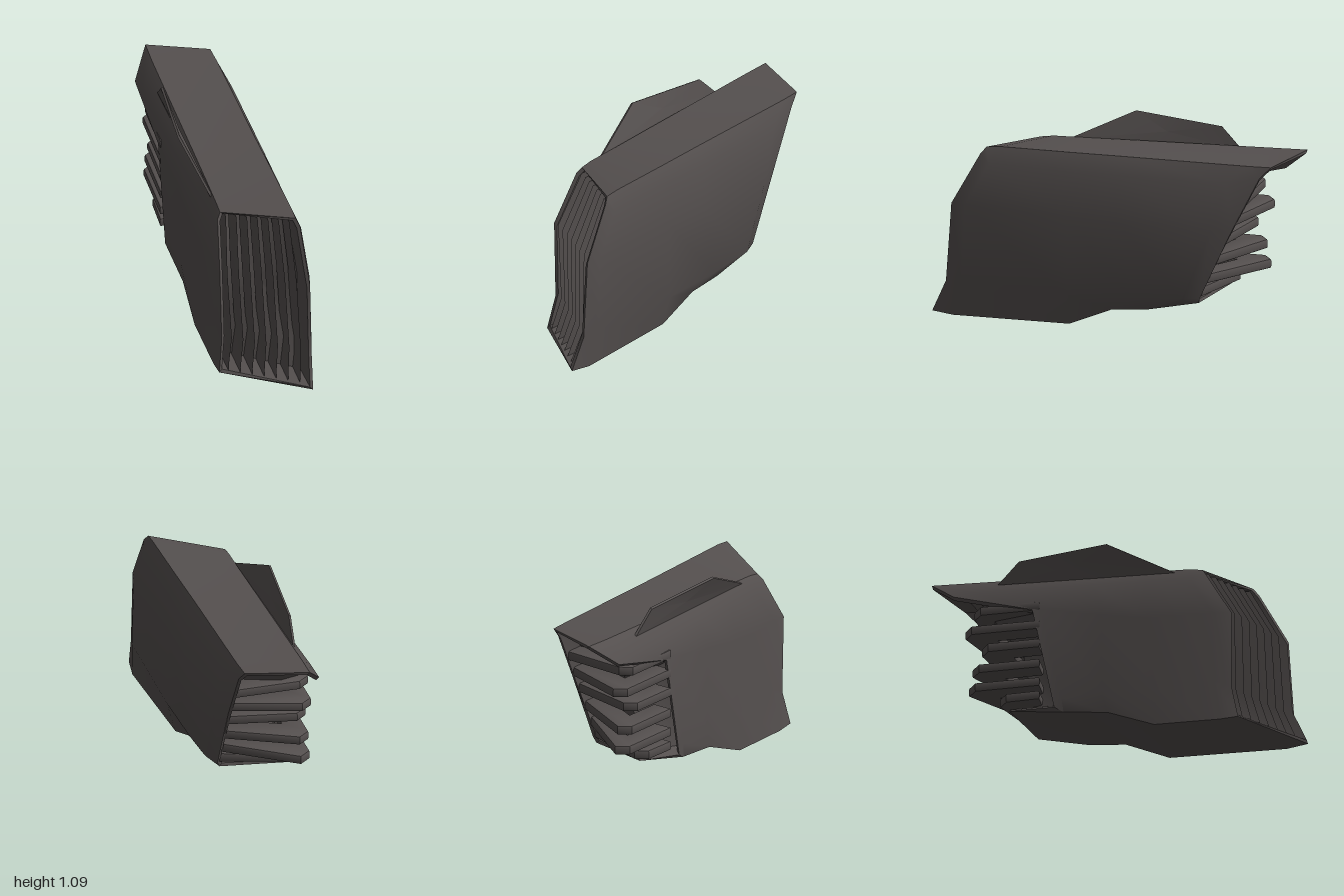
import * as THREE from 'three';
import { toCreasedNormals } from 'three/addons/utils/BufferGeometryUtils.js';

const material = new THREE.MeshStandardMaterial({ color: 0x55504f, side: THREE.DoubleSide });
const lerp = THREE.MathUtils.lerp;

// Skin a list of rings (each a closed loop of [x, y, z]), optionally closing the ends.
function loft(rings, caps, crease) {
  const n = rings[0].length, pos = rings.flat(2), idx = [];
  for (let r = 0; r < rings.length - 1; r++) {
    for (let i = 0; i < n; i++) {
      const a = r * n + i, b = r * n + (i + 1) % n;
      idx.push(a, a + n, b, b, a + n, b + n);
    }
  }
  if (caps) {
    [0, rings.length - 1].forEach((r, end) => {
      const c = pos.length / 3;
      pos.push(...centre(rings[r]));
      for (let i = 0; i < n; i++) {
        const a = r * n + i, b = r * n + (i + 1) % n;
        idx.push(c, end ? b : a, end ? a : b);
      }
    });
  }
  const geo = new THREE.BufferGeometry();
  geo.setAttribute('position', new THREE.Float32BufferAttribute(pos, 3));
  geo.setIndex(idx);
  return toCreasedNormals(geo, crease);
}

function centre(ring) {
  return [0, 1, 2].map(k => ring.reduce((s, p) => s + p[k], 0) / ring.length);
}

// Shrink a ring in x and y about its centre and shift it along z.
function inset(ring, d, dz) {
  const c = centre(ring);
  return ring.map(([x, y, z]) => [
    x - Math.sign(x - c[0]) * Math.min(d, Math.abs(x - c[0])),
    y - Math.sign(y - c[1]) * Math.min(d, Math.abs(y - c[1])), z + dz]);
}

function add(group, name, geo) {
  const mesh = new THREE.Mesh(geo, material);
  mesh.name = name;
  group.add(mesh);
}

// Point order: bottom -x, bottom +x, up the +x side, over the roof, down the -x side.
const front = [
  [-0.23, 0.01, 0.7], [0.21, 0.02, 1], [0.225, 0.2, 0.92], [0.225, 0.64, 0.89], [0.215, 0.93, 0.73],
  [0.2, 0.965, 0.7], [-0.165, 0.93, 0.49], [-0.185, 0.9, 0.51], [-0.215, 0.64, 0.66], [-0.205, 0.2, 0.66]];
const shoulder = [
  [-0.235, 0, 0.6], [0.23, 0.01, 0.88], [0.25, 0.23, 0.83], [0.245, 0.64, 0.81], [0.235, 0.88, 0.68],
  [0.2, 0.972, 0.62], [-0.165, 0.94, 0.42], [-0.2, 0.87, 0.43], [-0.228, 0.64, 0.56], [-0.215, 0.25, 0.56]];
const belly = [
  [-0.235, 0, 0.24], [0.2, 0, 0.24], [0.248, 0.18, 0.24], [0.245, 0.62, 0.24], [0.235, 0.87, 0.24],
  [0.195, 0.968, 0.24], [-0.162, 0.945, 0.2], [-0.21, 0.87, 0.2], [-0.232, 0.64, 0.2], [-0.225, 0.22, 0.24]];
const waist = [
  [-0.225, 0.1, -0.02], [0.2, 0.1, 0], [0.245, 0.18, -0.13], [0.245, 0.6, -0.05], [0.235, 0.87, -0.05],
  [0.19, 0.966, -0.05], [-0.16, 0.952, -0.05], [-0.22, 0.87, -0.1], [-0.235, 0.68, -0.05], [-0.232, 0.22, -0.05]];
const flank = [
  [-0.23, 0.12, -0.26], [0.2, 0.115, -0.2], [0.243, 0.2, -0.4], [0.243, 0.6, -0.56], [0.232, 0.87, -0.64],
  [0.185, 0.962, -0.76], [-0.155, 0.97, -0.85], [-0.24, 0.87, -0.74], [-0.24, 0.74, -0.38], [-0.238, 0.2, -0.27]];
const rear = [
  [-0.17, 0.18, -0.57], [0.19, 0.17, -0.48], [0.205, 0.2, -0.49], [0.205, 0.6, -0.67], [0.195, 0.9, -0.82],
  [0.18, 0.962, -0.88], [-0.15, 0.975, -1], [-0.25, 0.85, -0.86], [-0.245, 0.74, -0.43], [-0.24, 0.15, -0.31]];

export function createModel() {
  const model = new THREE.Group();

  // Casing with turned-in rims; the end caps are the inner baffles behind the slats
  add(model, 'casing', loft([
    inset(front, 0.025, -0.17), inset(front, 0.016, -0.005), front, shoulder, belly, waist, flank,
    rear, inset(rear, 0.016, 0.004), inset(rear, 0.02, 0.13)], true, 0.75));

  // Upright wedge slats following the slanted, bent mouth
  const left = [front[0], front[9], front[8], front[7]];
  const right = [front[1], front[2], front[3], front[4]];
  const slats = new THREE.Group();
  slats.name = 'frontSlats';
  for (let i = 0; i < 7; i++) {
    const t = 0.1 + i * 0.128;
    const rings = left.map((l, k) => {
      const [x, y, z] = l.map((v, c) => lerp(v, right[k][c], t));
      const px = x + [0, 0.01, -0.005, 0.005][k];
      return [[px, y + (k === 3 ? 0.012 : 0.008), z - 0.012],
        [px + 0.022, y + 0.005, z - 0.17], [px - 0.004, y + 0.005, z - 0.17]];
    });
    add(slats, 'frontSlat', loft(rings, true, 0.3));
  }
  model.add(slats);

  // Flat louvres wrapping round the rear -x corner
  const louvres = new THREE.Group();
  louvres.name = 'rearLouvres';
  [[0.23, -0.62], [0.31, -0.79], [0.42, -0.77], [0.54, -0.72], [0.65, -0.81], [0.76, -0.76]]
    .forEach(([y, corner]) => {
      const edge = -0.47 - 0.47 * (y - 0.2);
      const plan = [[0.185, edge], [-0.17, corner + 0.01], [-0.225, corner + 0.05], [-0.235, -0.4],
        [-0.14, -0.4], [-0.13, corner + 0.16], [0.185, edge + 0.12]];
      const shape = new THREE.Shape(plan.map(([x, z]) => new THREE.Vector2(x, -z)));
      const geo = new THREE.ExtrudeGeometry(shape, {
        depth: 0.03, bevelThickness: 0.012, bevelSize: 0.01, bevelSegments: 2 });
      geo.rotateX(-Math.PI / 2).translate(0, y - 0.015, 0);
      add(louvres, 'rearLouvre', toCreasedNormals(geo, 0.6));
    });
  model.add(louvres);

  // Thin fin leaning outward from the -x edge of the roof
  const outline = [[-0.168, 0.925, 0.34], [-0.25, 1.09, -0.02], [-0.2, 1.053, -0.51], [-0.185, 0.93, -0.63]];
  add(model, 'roofFin', loft([
    outline.map(([x, y, z]) => [x - 0.006, y - 0.003, z]),
    outline.map(([x, y, z]) => [x + 0.006, y + 0.003, z])], true, 0.3));

  return model;
}
